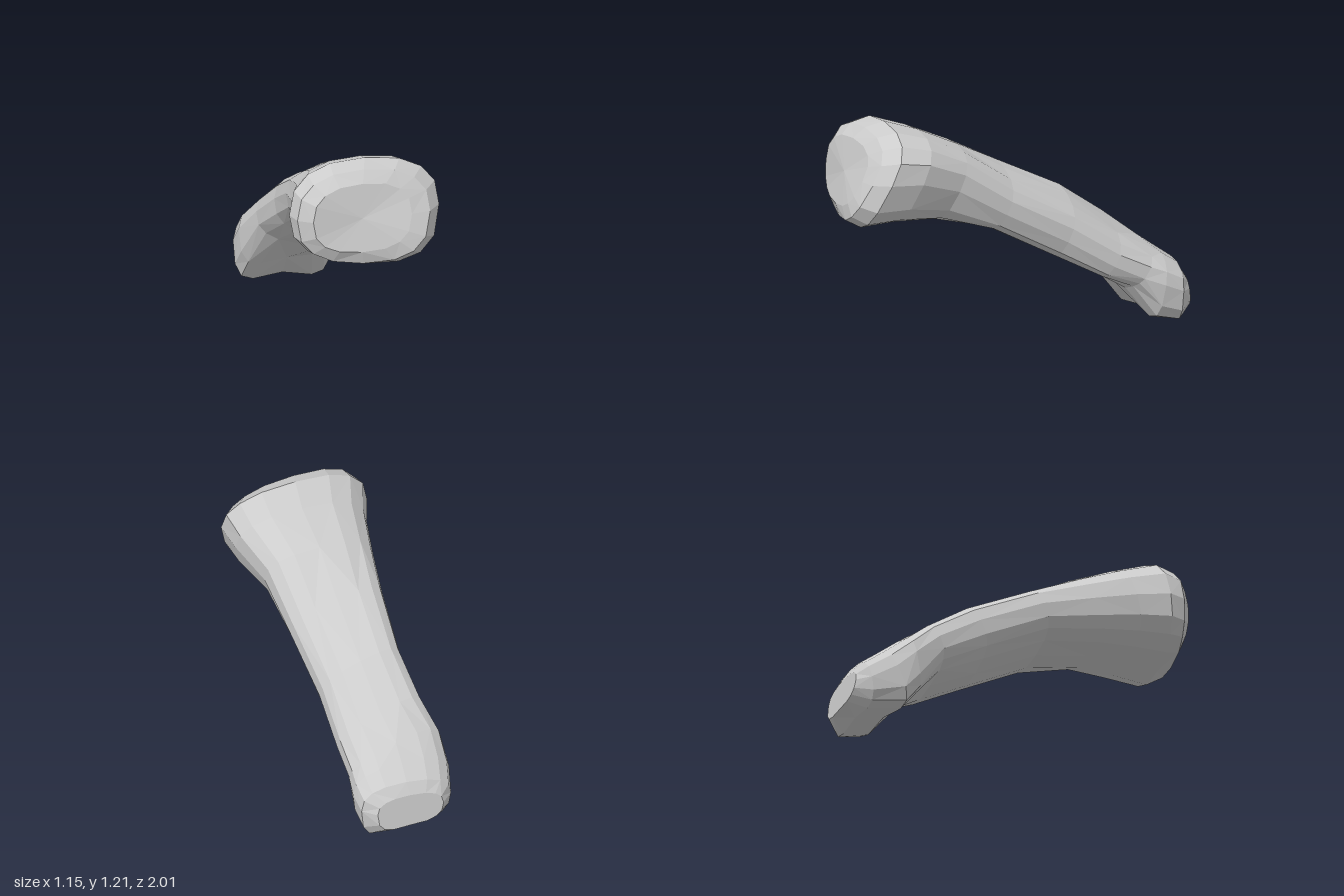
import * as THREE from 'three';

const SIDES = 16;

// Cross-sections from the joint face (front) to the knuckle end (back):
// centre x, y, z, half width, height above, depth below at -x and at +x,
// backward lean and its twist towards +x, yaw (degrees), side slope, groove under
const SECTIONS = [
  [0.17, 0.935, 0.915, 0.28, 0.19, 0.18, 0.19, 15, 10, 17, 0, 0],
  [0.175, 0.935, 0.872, 0.372, 0.255, 0.24, 0.28, 16, 12, 14, 0, 0],
  [0.175, 0.94, 0.78, 0.42, 0.285, 0.245, 0.345, 17, 9, 14, 0, 0],
  [0.15, 0.93, 0.60, 0.38, 0.245, 0.225, 0.31, 20, 4, 15, 0, 0],
  [0.07, 0.87, 0.38, 0.315, 0.205, 0.20, 0.24, 25, 0, 16, 0.05, 0],
  [-0.005, 0.755, 0.10, 0.27, 0.16, 0.15, 0.15, 27, 0, 16, 0.24, 0],
  [-0.11, 0.58, -0.25, 0.235, 0.16, 0.16, 0.15, 27, 0, 17, 0.35, 0],
  [-0.20, 0.42, -0.50, 0.25, 0.145, 0.14, 0.12, 27, 4, 18, 0.33, 0.05],
  [-0.275, 0.305, -0.655, 0.275, 0.155, 0.26, 0.07, 24, 14, 19, 0.18, 0.15],
  [-0.30, 0.23, -0.77, 0.285, 0.155, 0.26, 0.24, 16, -8, 19, 0.06, 0.25],
  [-0.32, 0.17, -0.89, 0.26, 0.145, 0.15, 0.225, 6, -4, 16, 0, 0.25],
  [-0.34, 0.165, -0.95, 0.19, 0.085, 0.09, 0.13, -8, 0, 15, 0, 0.1],
];

const power = (v, p) => Math.sign(v) * Math.abs(v) ** p;

// One ring: rounded above, flatter below, with an optional groove between two squarer condyles
function ring([x, y, z, w, up, downA, downB, lean, twist, yaw, slope, groove]) {
  const a = THREE.MathUtils.degToRad(yaw);
  return Array.from({ length: SIDES }, (_, j) => {
    const angle = (j / SIDES) * Math.PI * 2;
    const c = Math.cos(angle);
    const s = Math.sin(angle);
    const t = THREE.MathUtils.degToRad(lean + twist * c);
    const down = THREE.MathUtils.lerp(downA, downB, (c + 1) / 2);
    const u = w * power(c, s < 0 ? 0.8 - groove : 0.8);
    let v = s > 0 ? up * power(s, 0.8) : down * power(s, 0.72);
    if (s < 0) v *= 1 - groove * Math.exp(-((c / 0.4) ** 2));
    return [
      x + u * Math.cos(a),
      y + v * Math.cos(t) - u * slope,
      z - u * Math.sin(a) - v * Math.sin(t),
    ];
  });
}

// Skin the rings and close both ends
function loft(sections) {
  const positions = sections.flatMap((section) => ring(section).flat());
  const index = [];
  for (let i = 0; i < sections.length - 1; i++) {
    for (let j = 0; j < SIDES; j++) {
      const k = (j + 1) % SIDES;
      const a = i * SIDES + j, b = i * SIDES + k;
      const c = a + SIDES, d = b + SIDES;
      if ((i + j) % 2) index.push(a, c, b, b, c, d);
      else index.push(a, c, d, a, d, b);
    }
  }
  const last = sections.length - 1;
  const front = sections.length * SIDES;
  positions.push(...sections[0].slice(0, 3), ...sections[last].slice(0, 3));
  for (let j = 0; j < SIDES; j++) {
    const k = (j + 1) % SIDES;
    index.push(front, j, k, front + 1, last * SIDES + k, last * SIDES + j);
  }
  const geometry = new THREE.BufferGeometry();
  geometry.setAttribute('position', new THREE.Float32BufferAttribute(positions, 3));
  geometry.setIndex(index);
  return geometry;
}

export function createModel() {
  const group = new THREE.Group();
  group.name = 'fingerBone';

  const geometry = loft(SECTIONS).toNonIndexed();
  geometry.computeVertexNormals();
  const bone = new THREE.Mesh(
    geometry,
    new THREE.MeshStandardMaterial({ color: 0xcccccc, flatShading: true })
  );
  bone.name = 'bone';
  group.add(bone);
  return group;
}
